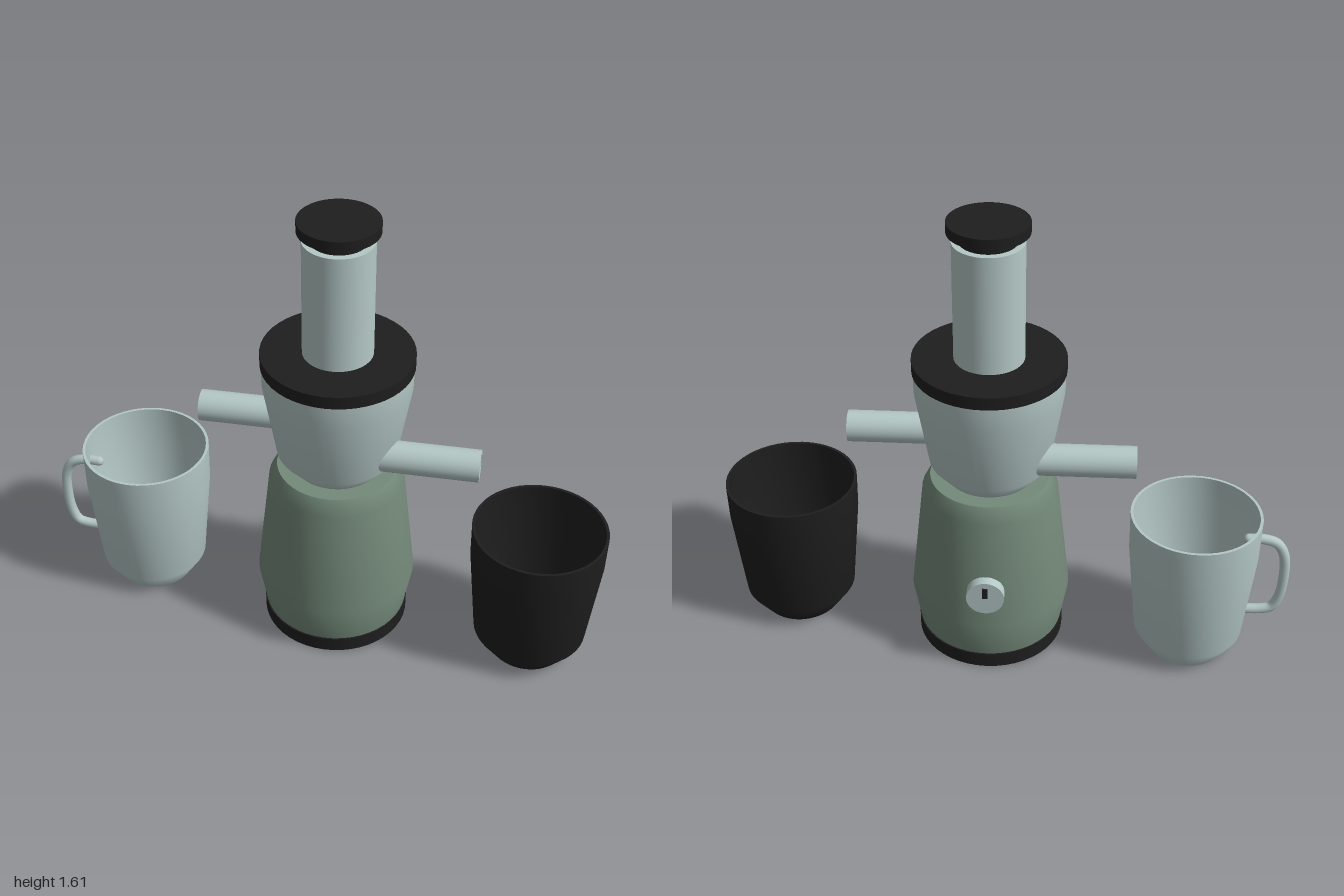
import * as THREE from 'three';

const SEG = 48;

export function createModel() {
  const pale = new THREE.MeshStandardMaterial({ color: 0xb4c8c6 });
  pale.name = 'pale plastic';
  const green = new THREE.MeshStandardMaterial({ color: 0x748a7a });
  green.name = 'sage green';
  const black = new THREE.MeshStandardMaterial({ color: 0x1e1e1e });
  black.name = 'black plastic';

  const model = new THREE.Group();
  model.name = 'juicer';

  function add(parent, name, geometry, material, x = 0, y = 0, z = 0) {
    const mesh = new THREE.Mesh(geometry, material);
    mesh.name = name;
    mesh.position.set(x, y, z);
    parent.add(mesh);
    return mesh;
  }

  // Lathe from [radius, y] pairs; a repeated point makes a hard edge
  const lathe = (pts) =>
    new THREE.LatheGeometry(pts.map(([r, y]) => new THREE.Vector2(r, y)), SEG);
  const disc = (r, y0, y1) => new THREE.CylinderGeometry(r, r, y1 - y0, SEG).translate(0, (y0 + y1) / 2, 0);

  // Main machine, turned around its own axis
  const machine = new THREE.Group();
  machine.name = 'machine';
  machine.position.set(0.05, 0, -0.01);
  model.add(machine);

  add(machine, 'base', disc(0.259, 0, 0.055), black);
  add(machine, 'motorBody', lathe([
    [0, 0.056], [0.255, 0.056], [0.255, 0.056], [0.28, 0.2], [0.235, 0.61],
    [0.207, 0.663], [0.207, 0.663], [0, 0.663],
  ]), green);
  add(machine, 'juicingBowl', lathe([
    [0, 0.66], [0.148, 0.66], [0.148, 0.66], [0.207, 0.73], [0.252, 1.0],
    [0.253, 1.082], [0.253, 1.082], [0, 1.082],
  ]), pale);
  add(machine, 'lid', disc(0.257, 1.08, 1.125), black);
  add(machine, 'feedTube', disc(0.118, 1.12, 1.542), pale);
  add(machine, 'pusherNeck', disc(0.095, 1.54, 1.578), black);
  add(machine, 'pusherCap', disc(0.134, 1.575, 1.611), black);

  // Two hollow spouts, one half a turn from the other
  for (const [name, side] of [['juiceSpout', 1], ['pulpSpout', -1]]) {
    const spout = lathe([
      [0.055, 0], [0.055, 0.37], [0.055, 0.37], [0.041, 0.37], [0.041, 0.37],
      [0.041, 0.13], [0.041, 0.13], [0, 0.13],
    ]).rotateZ(-Math.PI / 2).translate(0.126, 0.78, 0.083);
    add(machine, name, spout, pale).rotation.y = side > 0 ? 0 : Math.PI;
  }

  // Switch on the back
  add(machine, 'switchKnob',
    new THREE.CylinderGeometry(0.065, 0.065, 0.05, SEG).rotateX(Math.PI / 2), pale, 0, 0.34, -0.268);
  add(machine, 'switchPointer', new THREE.BoxGeometry(0.018, 0.04, 0.009), black, 0, 0.364, -0.295);

  // Thin-walled open cup
  function cup(name, material, r, height, x, z) {
    const group = new THREE.Group();
    group.name = name;
    group.position.set(x, 0, z);
    const w = 0.01;
    add(group, name + 'Wall', lathe([
      [0, 0], [0.138, 0], [0.138, 0], [r - 0.034, 0.085], [r - 0.002, 0.42],
      [r, height], [r, height], [r - w, height], [r - w, height],
      [r - w - 0.002, 0.42], [r - w - 0.034, 0.088], [0.134, 0.015], [0, 0.015],
    ]), material);
    model.add(group);
    return group;
  }
  const jug = cup('juiceJug', pale, 0.226, 0.57, -0.662, -0.088);
  cup('pulpCup', black, 0.232, 0.542, 0.766, 0.077);

  // Jug handle, its ends running through the wall
  const path = new THREE.CatmullRomCurve3([
    [-0.185, 0.472], [-0.235, 0.473], [-0.285, 0.455], [-0.313, 0.405], [-0.321, 0.32],
    [-0.312, 0.22], [-0.29, 0.174], [-0.25, 0.162], [-0.185, 0.16],
  ].map(([x, y]) => new THREE.Vector3(x, y, 0)));
  add(jug, 'jugHandle', new THREE.TubeGeometry(path, 40, 0.018, 12), pale);
  // Rounded handle ends
  for (const y of [0.472, 0.16]) {
    add(jug, 'handleEnd', new THREE.SphereGeometry(0.018, 12, 8), pale, -0.185, y, 0);
  }

  return model;
}
